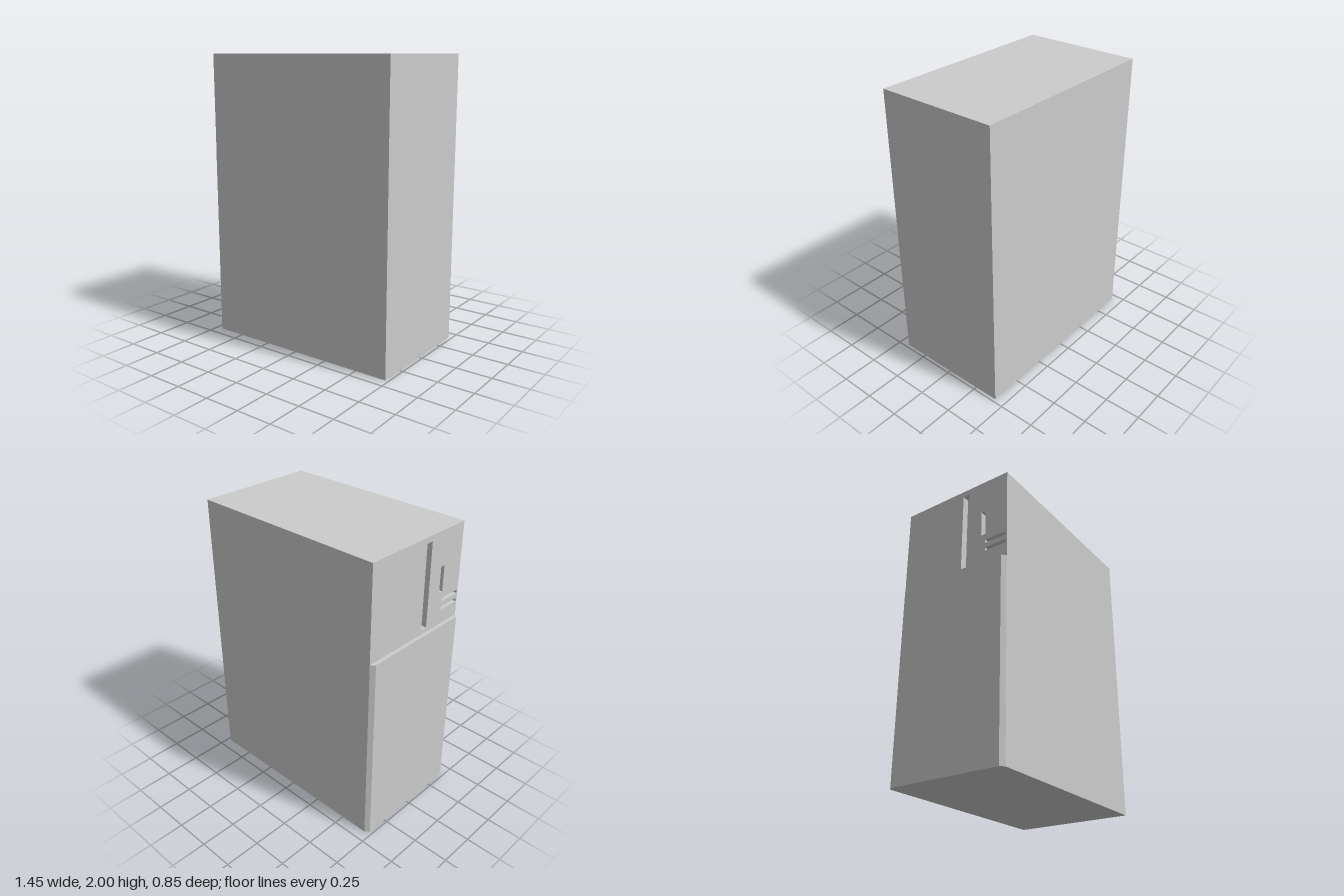
import * as THREE from 'three';

const HEIGHT = 2, HALF_DEPTH = 0.425;
const SIDE = 0.727;      // plain side at +x, outer skin of the panel at -x
const FACE = -0.7;       // slotted face
const RECESS = 0.05;     // slot depth

// Slots in the -x face: [zMin, zMax, yMin, yMax]
const SLOTS = [
  [0.06, 0.11, 1.38, 1.96],
  [0.22, 0.253, 1.58, 1.76],
  [0.253, 0.415, 1.51, 1.535],
  [0.253, 0.415, 1.45, 1.475],
];

function rectPoints(x0, x1, y0, y1) {
  return [[x0, y0], [x1, y0], [x1, y1], [x0, y1]].map(([x, y]) => new THREE.Vector2(x, y));
}

export function createModel() {
  const group = new THREE.Group();
  const material = new THREE.MeshStandardMaterial({ color: 0xcccccc, flatShading: true });
  const add = (name, geometry) => {
    const mesh = new THREE.Mesh(geometry, material);
    mesh.name = name;
    group.add(mesh);
  };

  // Main block, stopping at the bottom of the slots
  const inner = FACE + RECESS;
  const body = new THREE.BoxGeometry(SIDE - inner, HEIGHT, HALF_DEPTH * 2);
  body.translate((SIDE + inner) / 2, HEIGHT / 2, 0);
  add('body', body);

  // Face plate with the slots cut through it
  const plate = new THREE.Shape(rectPoints(-HALF_DEPTH, HALF_DEPTH, 0, HEIGHT));
  for (const slot of SLOTS) plate.holes.push(new THREE.Path(rectPoints(...slot)));
  const plateGeometry = new THREE.ExtrudeGeometry(plate, { depth: RECESS, bevelEnabled: false });
  plateGeometry.rotateY(-Math.PI / 2).translate(inner, 0, 0);
  add('slottedFace', plateGeometry);

  // Lower door panel with chamfered vertical edges
  const door = new THREE.Shape([
    [FACE, -HALF_DEPTH], [FACE, HALF_DEPTH], [-SIDE, 0.4], [-SIDE, -0.4],
  ].map(([x, z]) => new THREE.Vector2(x, z)));
  const doorGeometry = new THREE.ExtrudeGeometry(door, { depth: 1.35, bevelEnabled: false });
  doorGeometry.rotateX(-Math.PI / 2);
  add('doorPanel', doorGeometry);

  return group;
}
